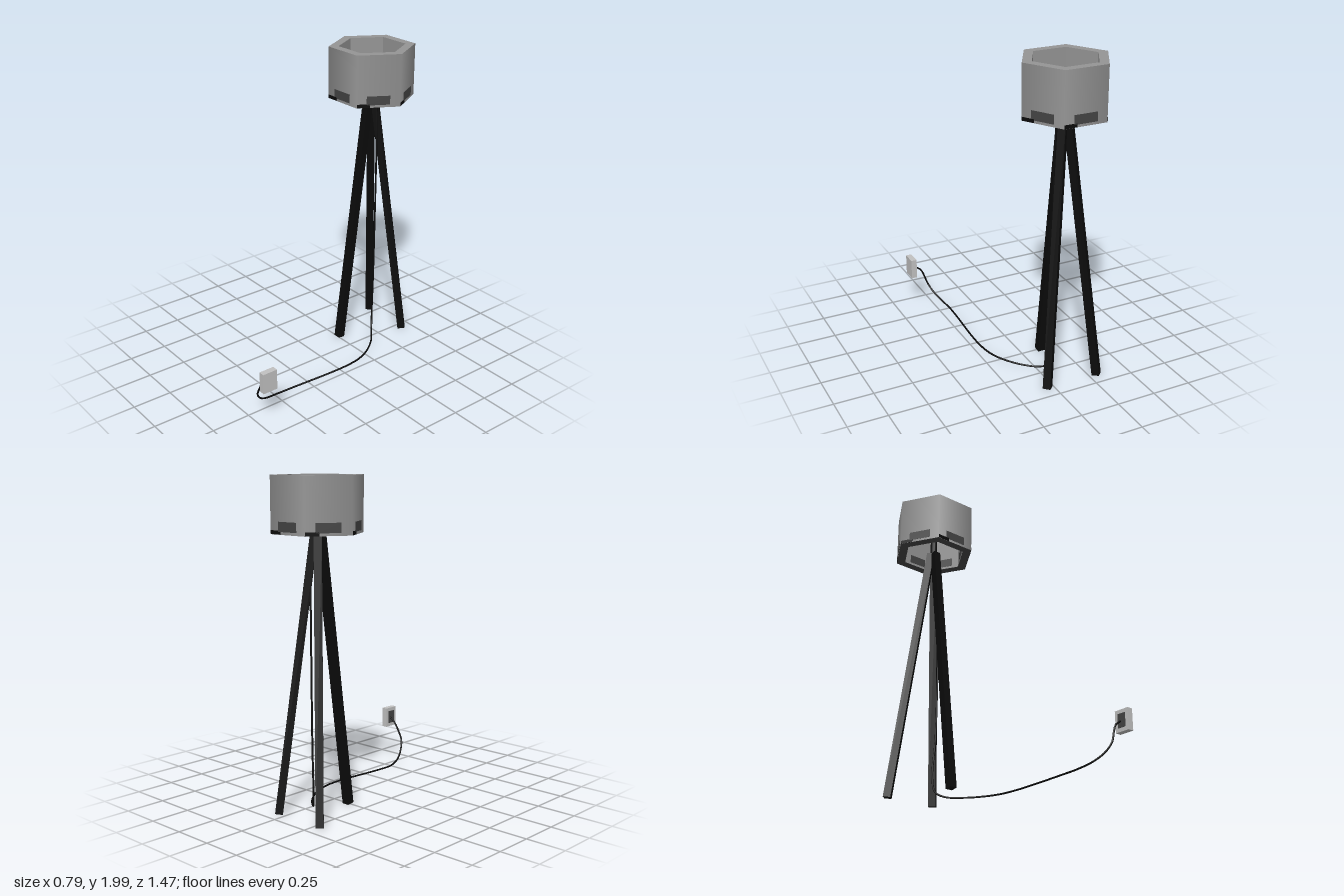
import * as THREE from 'three';

const mat = (name, color) => new THREE.MeshStandardMaterial({ name, color });

export function createModel() {
  const grey = mat('shadeGrey', 0x949494);
  const dark = mat('darkGrey', 0x444444);
  const black = mat('black', 0x0b0b0b);
  const light = mat('plugGrey', 0xc0c0c0);
  const white = mat('bulbWhite', 0xd4d4d4);

  const model = new THREE.Group();
  model.name = 'tripodFloorLamp';
  const add = (parent, name, geometry, material, x = 0, y = 0, z = 0) => {
    const mesh = new THREE.Mesh(geometry, material);
    mesh.name = name;
    mesh.position.set(x, y, z);
    parent.add(mesh);
    return mesh;
  };

  const lamp = new THREE.Group();
  lamp.name = 'lamp';
  lamp.position.set(-0.125, 0, -0.5);
  model.add(lamp);

  // Hexagonal shade: outer wall, top rim, inner wall, bottom rim
  const R = 0.272, r = 0.21, low = 1.672, high = 2;
  const corners = [[R, low], [R, high], [r, high], [r, low]];
  ['shadeOuterWall', 'shadeTopRim', 'shadeInnerWall', 'shadeBottomRim'].forEach((name, i) => {
    const points = [corners[i], corners[(i + 1) % 4]].map(p => new THREE.Vector2(...p));
    let geometry = new THREE.LatheGeometry(points, 6, Math.PI / 6);
    if (i > 0) {
      geometry = geometry.toNonIndexed();
      geometry.computeVertexNormals();
    }
    add(lamp, name, geometry, i === 3 ? dark : grey);
  });

  // Dark patches along the lower edge of each shade side, outside and inside
  const outerFlat = R * Math.cos(Math.PI / 6);
  const innerFlat = r * Math.cos(Math.PI / 6);
  for (let i = 0; i < 6; i++) {
    const side = new THREE.Group();
    side.name = 'shadeSideTrim';
    side.rotation.y = i * Math.PI / 3;
    lamp.add(side);
    add(side, 'outerPatch', new THREE.BoxGeometry(0.145, 0.056, 0.003), dark, 0, 1.716, outerFlat);
    add(side, 'outerEdgeStrip', new THREE.BoxGeometry(0.08, 0.022, 0.003), black, -0.093, 1.684, outerFlat);
    add(side, 'innerPatch', new THREE.BoxGeometry(0.12, 0.056, 0.003), dark, 0, 1.716, innerFlat);
  }

  // Three square legs, spread from the hub
  [0, 0.75, -0.75].forEach(turn => {
    const pivot = new THREE.Group();
    pivot.name = 'legPivot';
    pivot.rotation.y = turn * Math.PI;
    lamp.add(pivot);
    const top = new THREE.Vector3(0, 1.69, 0.018);
    const foot = new THREE.Vector3(0, 0.013, 0.242);
    const span = top.clone().sub(foot);
    const leg = add(pivot, 'leg', new THREE.BoxGeometry(0.047, span.length(), 0.047), black);
    leg.position.addVectors(top, foot).multiplyScalar(0.5);
    leg.rotation.x = Math.atan2(span.z, span.y);
  });

  // Socket and bulb
  add(lamp, 'socket', new THREE.CylinderGeometry(0.022, 0.022, 0.1, 12), black, 0, 1.735, 0);
  const bulbProfile = [[0.019, 1.78], [0.022, 1.81], [0.036, 1.85], [0.042, 1.885],
    [0.036, 1.908], [0.021, 1.922], [0, 1.927]].map(p => new THREE.Vector2(...p));
  add(lamp, 'bulb', new THREE.LatheGeometry(bulbProfile, 16), white);

  // Cable hanging from the hub, crossing the floor and rising to the plug
  const path = new THREE.CatmullRomCurve3([
    [-0.075, 1.66, -0.505], [-0.065, 1.4, -0.502], [-0.065, 0.9, -0.502], [-0.068, 0.4, -0.502],
    [-0.08, 0.14, -0.508], [-0.065, 0.05, -0.495], [-0.02, 0.02, -0.455], [0.06, 0.015, -0.385],
    [0.145, 0.015, -0.27], [0.188, 0.016, -0.165], [0.203, 0.017, -0.06], [0.203, 0.016, 0.06],
    [0.182, 0.012, 0.38], [0.181, 0.015, 0.49], [0.206, 0.04, 0.59], [0.238, 0.085, 0.655],
    [0.262, 0.14, 0.688], [0.285, 0.2, 0.682], [0.312, 0.255, 0.674], [0.36, 0.291, 0.673],
  ].map(p => new THREE.Vector3(...p)));
  add(model, 'cable', new THREE.TubeGeometry(path, 120, 0.0058, 8), black);

  // Wall plug with a dark face where the cable enters
  add(model, 'plug', new THREE.BoxGeometry(0.038, 0.132, 0.098), light, 0.374, 0.291, 0.683);
  add(model, 'plugInset', new THREE.BoxGeometry(0.003, 0.085, 0.056), dark, 0.3545, 0.291, 0.683);

  return model;
}
